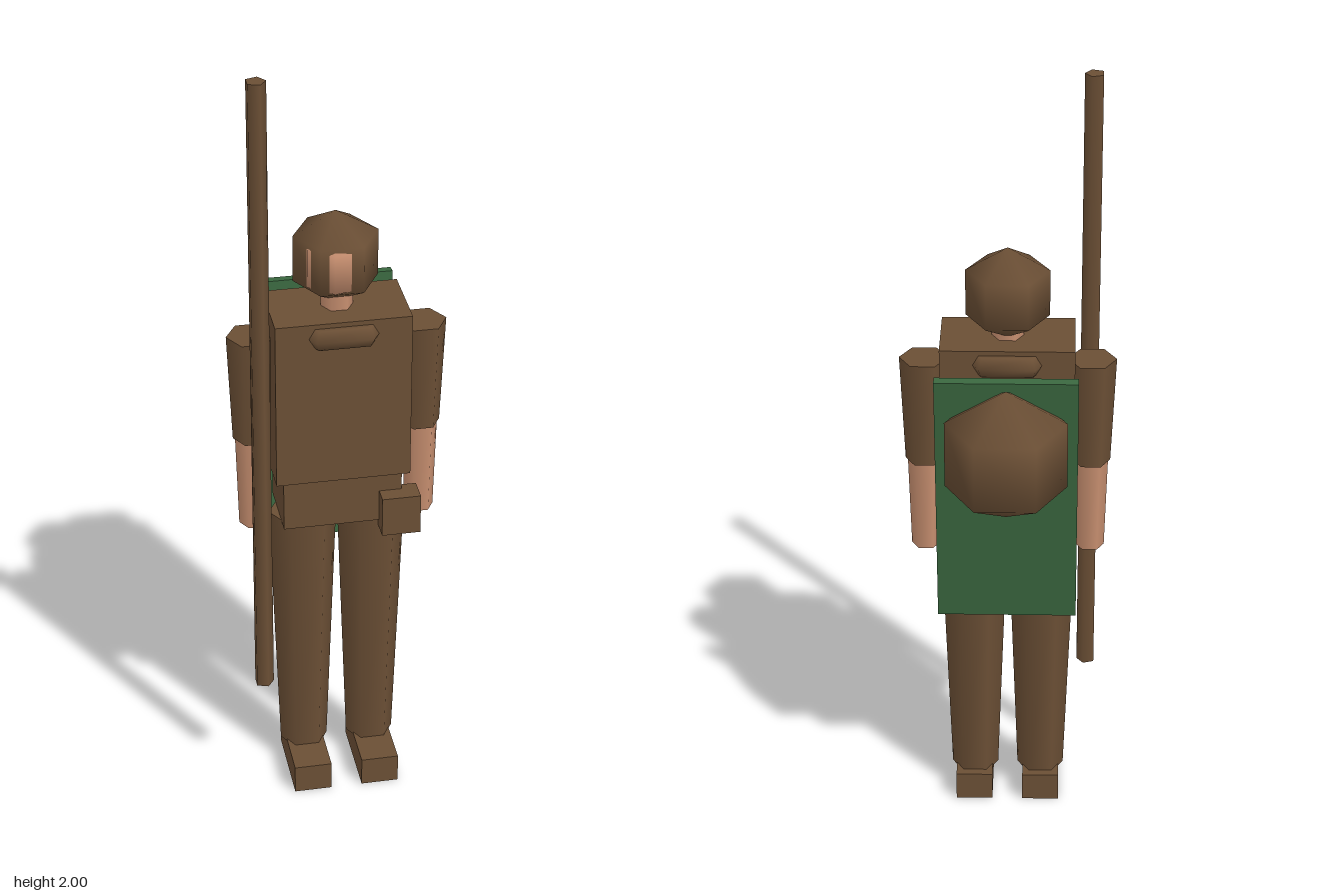
import * as THREE from 'three';

export function createModel() {
  const model = new THREE.Group();
  model.name = 'traveller';

  const paint = (name, color) => {
    const m = new THREE.MeshStandardMaterial({ color });
    m.name = name;
    return m;
  };
  const brown = paint('brown cloth', 0x6b4f35);
  const skin = paint('skin', 0xc68e6f);
  const green = paint('green board', 0x3a673f);

  const add = (name, geometry, material, x, y, z) => {
    const mesh = new THREE.Mesh(geometry, material);
    mesh.name = name;
    mesh.position.set(x, y, z);
    model.add(mesh);
    return mesh;
  };
  const box = (name, mat, w, h, d, x, y, z) =>
    add(name, new THREE.BoxGeometry(w, h, d), mat, x, y, z);
  // Upright tapered prism between two heights, with one corner on +x
  const post = (name, mat, rTop, rBottom, yTop, yBottom, x, z, sides = 6) =>
    add(name, new THREE.CylinderGeometry(rTop, rBottom, yTop - yBottom, sides, 1, false, Math.PI / 2),
      mat, x, (yTop + yBottom) / 2, z);
  const ball = (name, mat, r, sides, x, y, z) =>
    add(name, new THREE.SphereGeometry(r, sides, 3), mat, x, y, z);

  const zBody = 0.104;

  // Trunk
  box('torso', brown, 0.334, 0.442, 0.19, 0, 1.134, zBody);
  box('hips', brown, 0.296, 0.138, 0.17, 0, 0.847, zBody);
  box('beltPouch', brown, 0.097, 0.106, 0.061, 0.14, 0.81, 0.2);

  // Neck, rolled collar, face and hood
  post('neck', skin, 0.04, 0.04, 1.42, 1.34, 0, zBody);
  const collar = new THREE.TorusGeometry(0.11, 0.03, 6, 6);
  collar.rotateX(Math.PI / 2);
  add('collar', collar, brown, 0, 1.317, zBody);
  ball('face', skin, 0.1, 7, 0, 1.475, zBody - 0.002).rotation.y = Math.PI;
  ball('hood', brown, 0.12, 6, 0, 1.478, 0.087);

  // Limbs, mirrored
  for (const [side, s] of [['left', 1], ['right', -1]]) {
    post(side + 'Sleeve', brown, 0.061, 0.049, 1.29, 1.005, 0.21 * s, zBody);
    post(side + 'Forearm', skin, 0.044, 0.037, 1.02, 0.757, 0.21 * s, zBody);
    post(side + 'Leg', brown, 0.086, 0.061, 0.78, 0.07, 0.087 * s, 0.106);
    box(side + 'Boot', brown, 0.096, 0.077, 0.223, 0.088 * s, 0.0385, 0.1415);
  }

  // Gear: walking staff, leaning board and bundle on the back
  post('staff', brown, 0.025, 0.025, 2, 0.335, -0.207, 0.21, 5);
  box('backBoard', green, 0.352, 0.71, 0.025, 0, 0.975, -0.056).rotation.x = -0.11;
  ball('bundle', brown, 0.174, 6, 0, 1.14, -0.124);

  return model;
}
